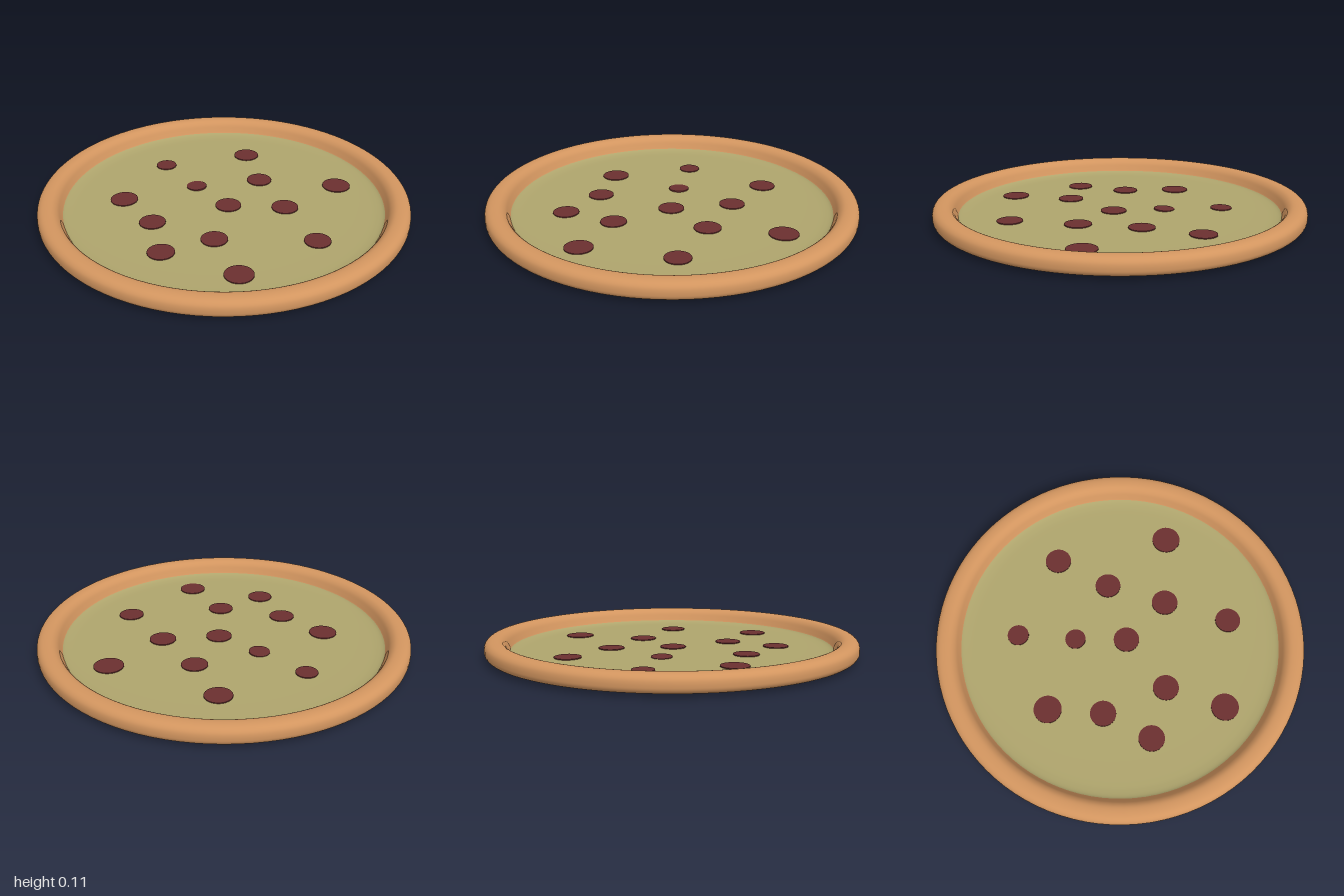
import * as THREE from 'three';

const mat = (color) => new THREE.MeshStandardMaterial({ color });

// Revolve a smooth curve drawn through [radius, height] points
function revolve(name, points, samples, color) {
  const curve = new THREE.SplineCurve(points.map(([r, y]) => new THREE.Vector2(r, y)));
  const profile = curve.getPoints(samples);
  profile.forEach((p) => { p.x = Math.min(1, Math.max(0, p.x)); p.y = Math.max(0, p.y); });
  const mesh = new THREE.Mesh(new THREE.LatheGeometry(profile, 96), mat(color));
  mesh.name = name;
  return mesh;
}

export function createModel() {
  const group = new THREE.Group();
  group.name = 'pizza';

  // Base: almost flat underside, lifting a little towards the edge
  group.add(revolve('base', [[0, 0], [0.35, 0], [0.62, 0.003], [0.85, 0.009], [0.96, 0.014]], 12, 0xd2955f));

  // Crust: raised rounded rim, falling steeply to the cheese inside
  group.add(revolve('crust', [
    [0.96, 0.014], [0.985, 0.019], [0.998, 0.035], [1, 0.058], [0.994, 0.082],
    [0.975, 0.099], [0.945, 0.105], [0.915, 0.101], [0.892, 0.083],
    [0.877, 0.055], [0.865, 0.033], [0.845, 0.018],
  ], 44, 0xd2955f));

  // Cheese: flat filling that curls up slightly against the crust
  group.add(revolve('cheese', [
    [0.872, 0.04], [0.858, 0.031], [0.83, 0.025], [0.78, 0.022], [0.6, 0.021], [0.3, 0.021], [0, 0.021],
  ], 24, 0xaea46c));

  // Pepperoni slices: x, z, radius, tilt
  const slices = [
    [0.28, -0.605, 0.078, 0], [-0.34, -0.485, 0.072, 0], [-0.06, -0.325, 0.07, 0],
    [0.255, -0.215, 0.072, 0], [0.6, -0.1, 0.069, 0], [-0.56, -0.04, 0.058, 0],
    [-0.245, -0.01, 0.056, 0.05], [0.035, 0, 0.07, 0], [0.24, 0.28, 0.07, 0],
    [-0.395, 0.385, 0.075, 0], [-0.1, 0.415, 0.07, 0], [0.55, 0.395, 0.074, 0],
    [0.153, 0.555, 0.07, 0],
  ];
  const pepperoni = new THREE.Group();
  pepperoni.name = 'pepperoni';
  const sliceMaterial = mat(0x6b3030);
  for (const [x, z, r, tilt] of slices) {
    const slice = new THREE.Mesh(new THREE.CylinderGeometry(r, r, 0.012, 32), sliceMaterial);
    slice.name = 'pepperoniSlice';
    slice.position.set(x, 0.02, z);
    slice.rotation.z = tilt;
    pepperoni.add(slice);
  }
  group.add(pepperoni);

  return group;
}
